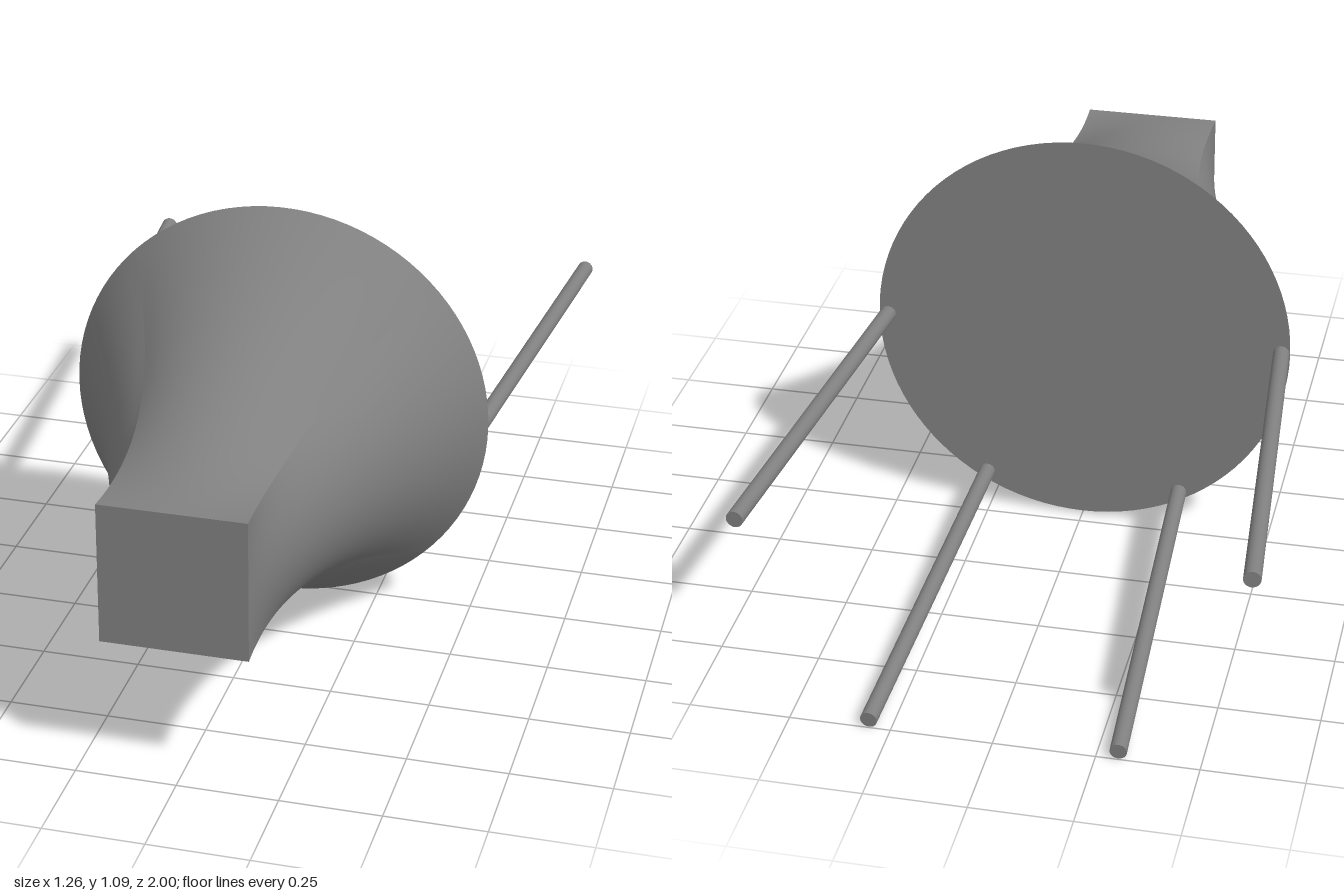
import * as THREE from 'three';

const CY = 0.549;                          // height of the main axis
const FRONT = 1, BACK = 0.04;              // z of the square and round ends
const HALF = 0.18, MID = 0.307, RADIUS = 0.54;
const material = new THREE.MeshStandardMaterial({ color: 0x808080 });

function add(group, name, geometry) {
  const mesh = new THREE.Mesh(geometry, material);
  mesh.name = name;
  group.add(mesh);
  return mesh;
}

// One quarter of the flared skin: square end -> circle halfway -> large circle
function flarePanel(centreAngle) {
  const across = 24, along = 40, pos = [], index = [];
  for (let i = 0; i <= along; i++) {
    const t = i / along;
    // quadratic through the three sections
    const w0 = 2 * (t - 0.5) * (t - 1), w1 = 4 * t * (1 - t), w2 = 2 * t * (t - 0.5);
    for (let j = 0; j <= across; j++) {
      const local = (j / across - 0.5) * Math.PI / 2;
      const r = w0 * HALF / Math.cos(local) + w1 * MID + w2 * RADIUS;
      const a = centreAngle + local;
      pos.push(r * Math.cos(a), CY + r * Math.sin(a), FRONT + (BACK - FRONT) * t);
      if (i < along && j < across) {
        const p = i * (across + 1) + j, q = p + across + 1;
        index.push(p, q, p + 1, p + 1, q, q + 1);
      }
    }
  }
  const g = new THREE.BufferGeometry();
  g.setAttribute('position', new THREE.Float32BufferAttribute(pos, 3));
  g.setIndex(index);
  g.computeVertexNormals();
  return g;
}

// Cylinder between two points
function addRod(group, name, from, to, radius) {
  const dir = to.clone().sub(from);
  const rod = add(group, name, new THREE.CylinderGeometry(radius, radius, dir.length(), 24));
  rod.position.copy(from).add(to).multiplyScalar(0.5);
  rod.quaternion.setFromUnitVectors(new THREE.Vector3(0, 1, 0), dir.normalize());
}

export function createModel() {
  const model = new THREE.Group();
  model.name = 'flaredBodyWithRods';

  // Solid body
  const body = new THREE.Group();
  body.name = 'body';
  model.add(body);
  ['left', 'top', 'right', 'bottom'].forEach((side, k) =>
    add(body, side + 'Flare', flarePanel(k * Math.PI / 2)));
  add(body, 'squareEnd', new THREE.PlaneGeometry(HALF * 2, HALF * 2)).position.set(0, CY, FRONT);
  const disc = add(body, 'roundEnd', new THREE.CircleGeometry(RADIUS, 96));
  disc.position.set(0, CY, BACK);
  disc.rotation.y = Math.PI;

  // Four rods splaying outward behind the disc, around its lower half
  const names = ['leftRod', 'lowerLeftRod', 'lowerRightRod', 'rightRod'];
  names.forEach((name, k) => {
    const a = -k * Math.PI / 3;
    const at = (r, z) => new THREE.Vector3(r * Math.cos(a), CY + r * Math.sin(a), z);
    addRod(model, name, at(0.517, BACK + 0.002), at(0.608, -0.998), 0.021);
  });
  return model;
}
